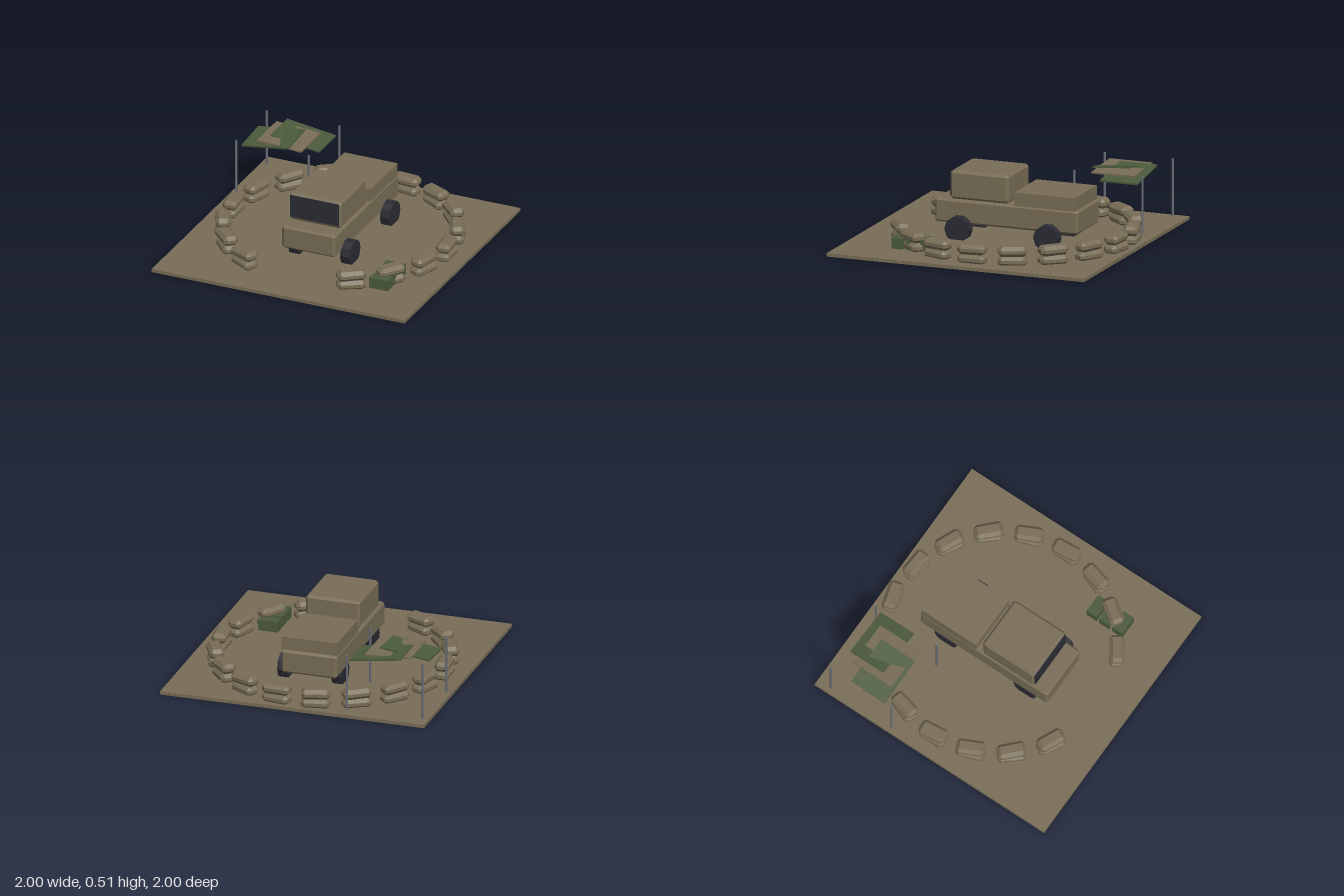
import * as THREE from 'three';
import { ConvexGeometry } from 'three/addons/geometries/ConvexGeometry.js';

const material = (name, color) => {
  const m = new THREE.MeshStandardMaterial({ color });
  m.name = name;
  return m;
};

// Box with every edge and corner cut flat
function chamferBox(w, h, d, c) {
  const [a, b, e] = [w / 2, h / 2, d / 2];
  const points = [];
  for (const x of [-1, 1]) for (const y of [-1, 1]) for (const z of [-1, 1]) {
    points.push(
      new THREE.Vector3(x * a, y * (b - c), z * (e - c)),
      new THREE.Vector3(x * (a - c), y * b, z * (e - c)),
      new THREE.Vector3(x * (a - c), y * (b - c), z * e));
  }
  return new ConvexGeometry(points);
}

export function createModel() {
  const model = new THREE.Group();
  model.name = 'desertOutpost';
  const tan = material('sandTan', 0x786d56);
  const green = material('oliveGreen', 0x4b5a3c);
  const dark = material('darkRubberAndGlass', 0x2b2b34);
  const steel = material('poleSteel', 0x6b7078);

  function add(name, geometry, mat, x, y, z, parent = model) {
    const mesh = new THREE.Mesh(geometry, mat);
    mesh.name = name;
    mesh.position.set(x, y, z);
    parent.add(mesh);
    return mesh;
  }
  function group(name) {
    const g = new THREE.Group();
    g.name = name;
    model.add(g);
    return g;
  }

  // Ground slab
  add('ground', new THREE.BoxGeometry(2, 0.025, 2), tan, 0, 0.0125, 0);

  // Truck: chassis, cab, windshield, cargo bed
  const truck = group('truck');
  add('chassis', chamferBox(0.42, 0.175, 1.11, 0.015), tan, 0, 0.215, -0.07, truck);
  add('cab', chamferBox(0.41, 0.21, 0.452, 0.018), tan, 0, 0.41, 0.142, truck);
  add('windshield', new THREE.BoxGeometry(0.385, 0.172, 0.008), dark, 0, 0.415, 0.369, truck);
  add('cargoBed', new THREE.BoxGeometry(0.42, 0.1, 0.47), tan, 0, 0.35, -0.37, truck);

  // Wheels, ten-sided
  const wheel = new THREE.CylinderGeometry(0.096, 0.096, 0.075, 10).toNonIndexed();
  wheel.rotateZ(Math.PI / 2);
  wheel.computeVertexNormals();
  for (const x of [0.2425, -0.1675]) for (const z of [0.285, -0.405]) {
    add('wheel', wheel, dark, x, 0.098, z, truck);
  }

  // Sandbag ring in two layers, open at the front
  const wall = group('sandbagWall');
  const bag = chamferBox(0.11, 0.074, 0.21, 0.025);
  for (let i = 0; i < 18; i++) {
    if (i === 4 || i === 5) continue;
    const angle = i * Math.PI / 9;
    for (const layer of [0, 1]) {
      const b = add('sandbag', bag, tan, 0.845 * Math.cos(angle), 0.05 + layer * 0.072,
        -0.07 + 0.845 * Math.sin(angle), wall);
      b.rotation.y = -angle + layer * 0.1;
    }
  }

  // Supply crates
  for (const z of [0.355, 0.465, 0.578]) {
    add('supplyCrate', new THREE.BoxGeometry(0.15, 0.082, 0.088), green, 0.62, 0.064, z);
  }

  // Camouflage canopy: poles and overlapping tilted sheets
  const canopy = group('canopy');
  const pole = new THREE.CylinderGeometry(0.009, 0.009, 0.425, 6);
  for (const x of [-0.955, -0.38]) for (const z of [-0.89, -0.36]) {
    add('canopyPole', pole, steel, x, 0.2375, z, canopy);
  }
  const sheets = [
    // material, width, depth, x, y, z, tilt about x, tilt about z
    [green, 0.375, 0.29, -0.757, 0.42, -0.57, 0.08, 0.14],
    [tan, 0.35, 0.335, -0.655, 0.426, -0.617, 0, -0.06],
    [green, 0.39, 0.29, -0.58, 0.414, -0.7, 0, -0.14],
  ];
  for (const [mat, w, d, x, y, z, rx, rz] of sheets) {
    const sheet = add('canopySheet', new THREE.BoxGeometry(w, 0.012, d), mat, x, y, z, canopy);
    sheet.rotation.set(rx, 0, rz);
  }

  return model;
}
